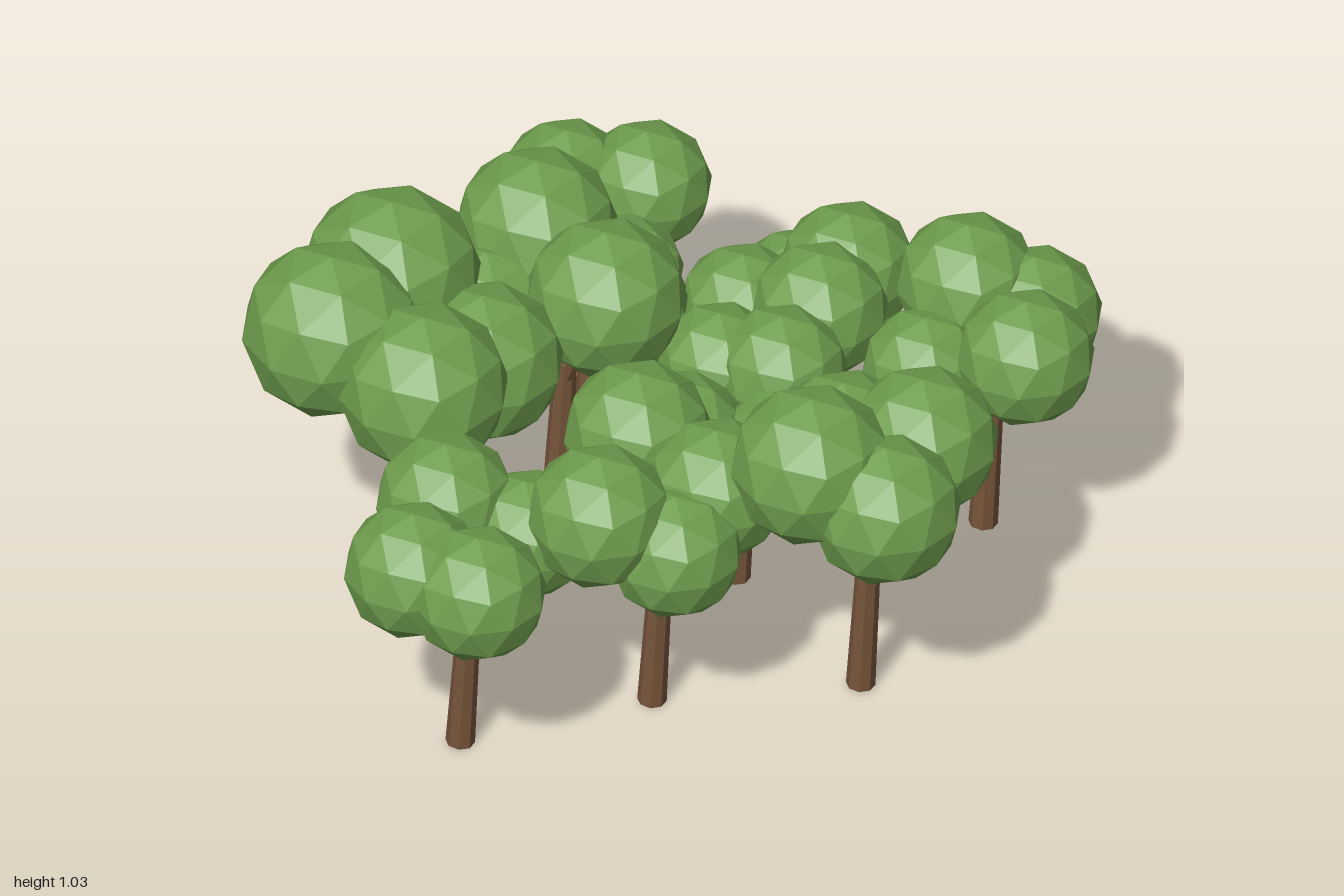
import * as THREE from 'three';

const leafGreen = new THREE.MeshStandardMaterial({ color: 0x6f9d4e, flatShading: true });
leafGreen.name = 'leaf green';
const barkBrown = new THREE.MeshStandardMaterial({ color: 0x75543a, flatShading: true });
barkBrown.name = 'bark brown';

// Faceted ball with one vertex pointing straight up
const ball = new THREE.IcosahedronGeometry(1, 1);
ball.rotateZ(-Math.atan(2 / (1 + Math.sqrt(5))));

// One row per tree: the centres of its four leaf clumps
const TREES = [
  [[-0.32, 0.56, -0.81], [-0.13, 0.57, -0.81], [-0.36, 0.48, -0.68], [-0.16, 0.47, -0.6]],
  [[-0.66, 0.81, -0.1], [-0.78, 0.8, 0.11], [-0.55, 0.74, 0.23], [-0.43, 0.67, 0.03]],
  [[-0.35, 0.73, -0.42], [-0.16, 0.72, -0.18], [-0.45, 0.6, -0.25], [-0.15, 0.58, -0.33]],
  [[-0.47, 0.6, 0.48], [-0.28, 0.53, 0.5], [-0.52, 0.59, 0.74], [-0.36, 0.58, 0.8]],
  [[-0.04, 0.65, 0.24], [0.16, 0.61, 0.38], [-0.1, 0.63, 0.54], [0.08, 0.54, 0.54]],
  [[0.44, 0.6, 0.16], [0.63, 0.65, 0.2], [0.39, 0.73, 0.42], [0.57, 0.65, 0.47]],
  [[0.67, 0.63, -0.44], [0.83, 0.57, -0.42], [0.59, 0.51, -0.25], [0.83, 0.59, -0.22]],
  [[0.25, 0.47, -0.58], [0.38, 0.6, -0.5], [0.14, 0.53, -0.42], [0.33, 0.6, -0.34]],
  [[0.11, 0.54, -0.18], [0.26, 0.57, -0.14], [0.04, 0.5, 0.03], [0.28, 0.48, 0.03]],
];

// Tapered limb between two points
function limb(name, from, to, r0, r1, sides) {
  const dir = to.clone().sub(from);
  const mesh = new THREE.Mesh(new THREE.CylinderGeometry(r1, r0, dir.length(), sides), barkBrown);
  mesh.name = name;
  mesh.position.copy(from).add(to).multiplyScalar(0.5);
  mesh.quaternion.setFromUnitVectors(new THREE.Vector3(0, 1, 0), dir.normalize());
  return mesh;
}

function buildTree(clumps) {
  const tree = new THREE.Group();
  tree.name = 'tree';
  const centres = clumps.map((c) => new THREE.Vector3(...c));
  const crown = new THREE.Vector3();
  centres.forEach((c) => crown.addScaledVector(c, 1 / centres.length));

  // Trunk under the middle of the crown, leaning slightly; taller crowns get taller trunks
  const height = 0.12 + 0.48 * crown.y;
  const base = new THREE.Vector3(crown.x - 0.012, 0.002, crown.z);
  const top = new THREE.Vector3(crown.x + 0.01, height, crown.z);
  tree.add(limb('trunk', base, top, 0.035, 0.028, 8));

  centres.forEach((centre, i) => {
    // Branch from the upper trunk into the clump
    const fork = base.clone().lerp(top, 0.78 + i * 0.05);
    tree.add(limb('branch', fork, centre, 0.017, 0.011, 6));

    // Leaf clump: bigger on tall trees and near the top of the crown
    const leaves = new THREE.Mesh(ball, leafGreen);
    leaves.name = 'leafClump';
    leaves.position.copy(centre);
    leaves.scale.setScalar(0.023 + 0.245 * crown.y + 0.15 * (centre.y - crown.y));
    tree.add(leaves);
  });
  return tree;
}

export function createModel() {
  const grove = new THREE.Group();
  grove.name = 'grove';
  TREES.forEach((clumps) => grove.add(buildTree(clumps)));
  return grove;
}
